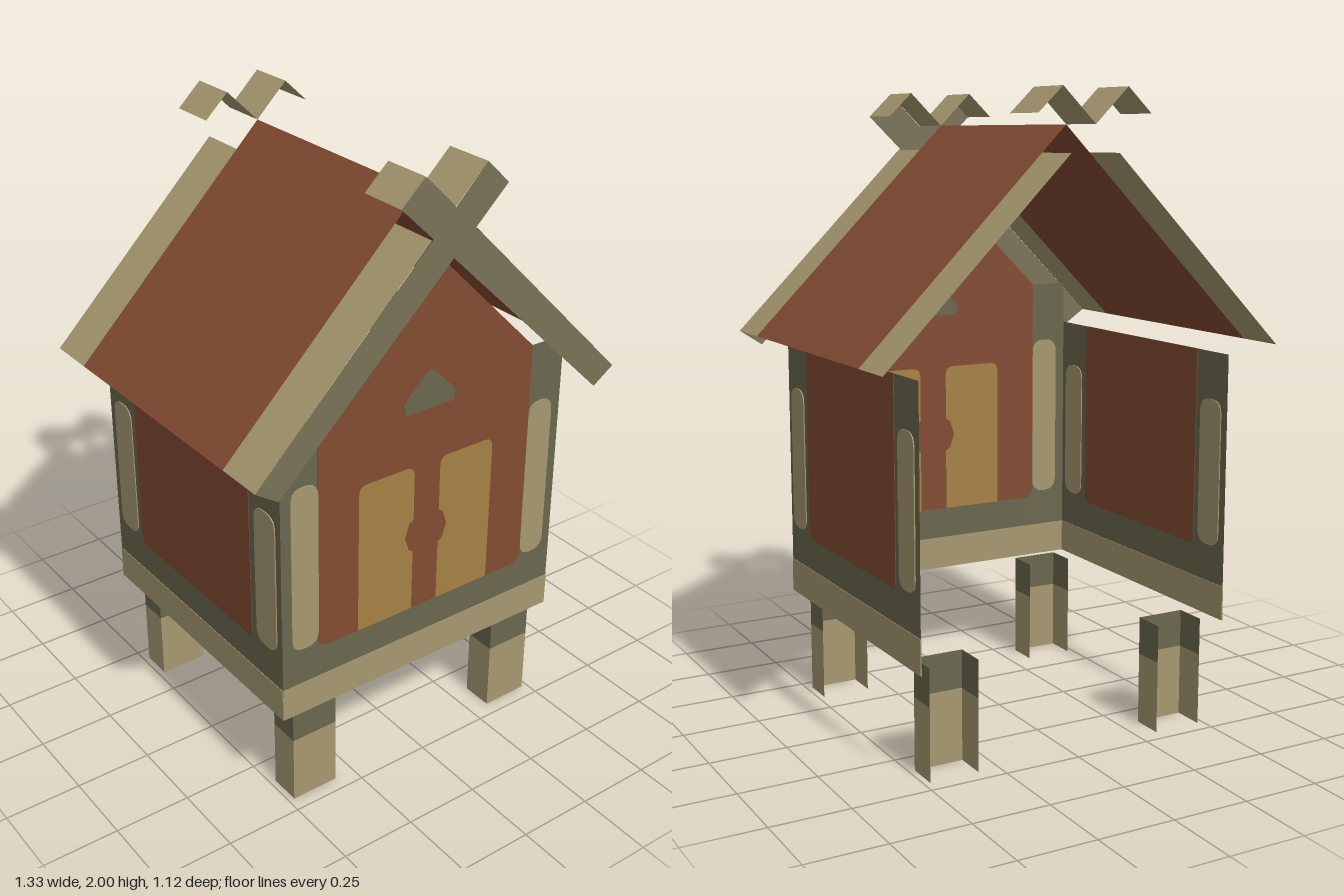
import * as THREE from 'three';

const mat = (name, color) => {
  const m = new THREE.MeshStandardMaterial({ color, side: THREE.DoubleSide });
  m.name = name;
  return m;
};

export function createModel() {
  const tan = mat('pale wood', 0xa69870);
  const olive = mat('dark olive wood', 0x6a674e);
  const beamWood = mat('shaded beam wood', 0x7b7257);
  const clay = mat('terracotta', 0x834b32);
  const ochre = mat('ochre door', 0xa68146);

  const model = new THREE.Group();
  model.name = 'hut';

  const add = (parent, name, geometry, material) => {
    const mesh = new THREE.Mesh(geometry, material);
    mesh.name = name;
    parent.add(mesh);
    return mesh;
  };
  const group = (name) => {
    const g = new THREE.Group();
    g.name = name;
    model.add(g);
    return g;
  };

  const poly = (pts) => new THREE.Shape(pts.map(([x, y]) => new THREE.Vector2(x, y)));
  const rect = (x0, y0, x1, y1) => poly([[x0, y0], [x1, y0], [x1, y1], [x0, y1]]);

  // Rectangle with rounded corners; the lower ones may be kept square
  const rounded = (x0, y0, x1, y1, r, low = r) => {
    const s = new THREE.Shape();
    s.moveTo(x0 + low, y0);
    s.lineTo(x1 - low, y0);
    s.quadraticCurveTo(x1, y0, x1, y0 + low);
    s.lineTo(x1, y1 - r);
    s.quadraticCurveTo(x1, y1, x1 - r, y1);
    s.lineTo(x0 + r, y1);
    s.quadraticCurveTo(x0, y1, x0, y1 - r);
    s.lineTo(x0, y0 + low);
    s.quadraticCurveTo(x0, y0, x0 + low, y0);
    return s;
  };

  // Thin plate centred on its wall, so that it shows inside and outside
  const plate = (shape, depth) =>
    new THREE.ExtrudeGeometry(shape, { depth, bevelEnabled: false, curveSegments: 5 })
      .translate(0, 0, -depth / 2);

  // Open sheet: an x,y profile swept from z0 to z1
  const sheet = (pts, z0, z1) => {
    const v = [];
    for (let i = 0; i + 1 < pts.length; i++) {
      const [a, b] = [pts[i], pts[i + 1]];
      v.push(...a, z0, ...b, z1, ...b, z0, ...a, z0, ...a, z1, ...b, z1);
    }
    const g = new THREE.BufferGeometry();
    g.setAttribute('position', new THREE.Float32BufferAttribute(v, 3));
    g.computeVertexNormals();
    return g;
  };

  // Front wall with gable
  const front = group('frontWall');
  front.position.z = 0.475;
  add(front, 'frontFrame', new THREE.ShapeGeometry(poly([
    [-0.53, 0.35], [0.53, 0.35], [0.53, 1.34], [0.4, 1.34],
    [0, 1.74], [-0.4, 1.34], [-0.53, 1.34]])), olive);
  add(front, 'frontSill', plate(rect(-0.53, 0.35, 0.53, 0.46), 0.004), tan);
  add(front, 'gablePanel', plate(poly([
    [-0.38, 0.565], [0.38, 0.565], [0.4, 0.585], [0.4, 1.34],
    [0, 1.74], [-0.4, 1.34], [-0.4, 0.585]]), 0.004), clay);
  add(front, 'gableWindow', plate(poly([
    [-0.09, 1.25], [0.09, 1.25], [0.097, 1.285], [0.02, 1.365],
    [0, 1.375], [-0.02, 1.365], [-0.097, 1.285]]), 0.007), olive);
  for (const s of [-1, 1]) {
    const c = s * 0.152;
    add(front, 'door', plate(rounded(c - 0.103, 0.565, c + 0.103, 1.07, 0.03, 0.002), 0.007), ochre);
    const p = s * 0.448;
    add(front, 'frontPost', plate(rounded(p - 0.048, 0.585, p + 0.048, 1.14, 0.045), 0.007), tan);
  }
  const lock = new THREE.Shape();
  lock.absellipse(0, 0.83, 0.08, 0.078, 0, Math.PI * 2);
  add(front, 'doorLock', plate(lock, 0.0095), clay);

  // Side walls, drawn with z along the local -x axis
  for (const s of [-1, 1]) {
    const wall = group(s > 0 ? 'leftWall' : 'rightWall');
    wall.position.x = s * 0.53;
    wall.rotation.y = Math.PI / 2;
    add(wall, 'sideFrame', new THREE.ShapeGeometry(rect(-0.475, 0.35, 0.5, 1.2)), olive);
    add(wall, 'sideSill', plate(rect(-0.475, 0.35, 0.5, 0.46), 0.004), tan);
    add(wall, 'sidePanel', plate(rounded(-0.315, 0.565, 0.34, 1.2, 0.002, 0.02), 0.004), clay);
    for (const c of [-0.397, 0.418]) {
      add(wall, 'sidePost', plate(rounded(c - 0.053, 0.58, c + 0.053, 1.05, 0.045), 0.007), tan);
    }
  }

  // Legs: three-sided shells, open towards the back
  for (const s of [-1, 1]) {
    for (const z of [0.4, -0.4]) {
      const leg = group(z > 0 ? 'frontLeg' : 'backLeg');
      leg.position.set(s * 0.4, 0, z);
      const u = [[-0.08, 0.052], [-0.08, -0.052], [0.08, -0.052], [0.08, 0.052]];
      add(leg, 'legFoot', sheet(u, 0, 0.23).rotateX(-Math.PI / 2), tan);
      add(leg, 'legTop', sheet(u, 0.23, 0.35).rotateX(-Math.PI / 2), olive);
    }
  }

  // Roof slopes and crossed gable beams
  for (const s of [-1, 1]) {
    const mirror = (pts) => pts.map(([x, y]) => [s * x, y]);
    add(model, 'roofSlope', sheet(mirror([[0, 1.895], [0.665, 1.23]]), -0.4, 0.4), clay);
    for (const [z0, z1] of [[0.4, 0.56], [-0.56, -0.4]]) {
      add(model, 'beamTop', sheet(mirror([[0.08, 1.815], [0.665, 1.23]]), z0, z1), tan);
      add(model, 'beamEnd', sheet(mirror([[0, 1.895], [0.108, 2], [0.187, 1.925]]), z0, z1), tan);
    }
    const face = new THREE.ShapeGeometry(poly(mirror([
      [-0.665, 1.23], [-0.59, 1.18], [0.187, 1.925], [0.108, 2]])));
    add(model, 'beamFace', face, beamWood).position.z = 0.56;
  }

  return model;
}
